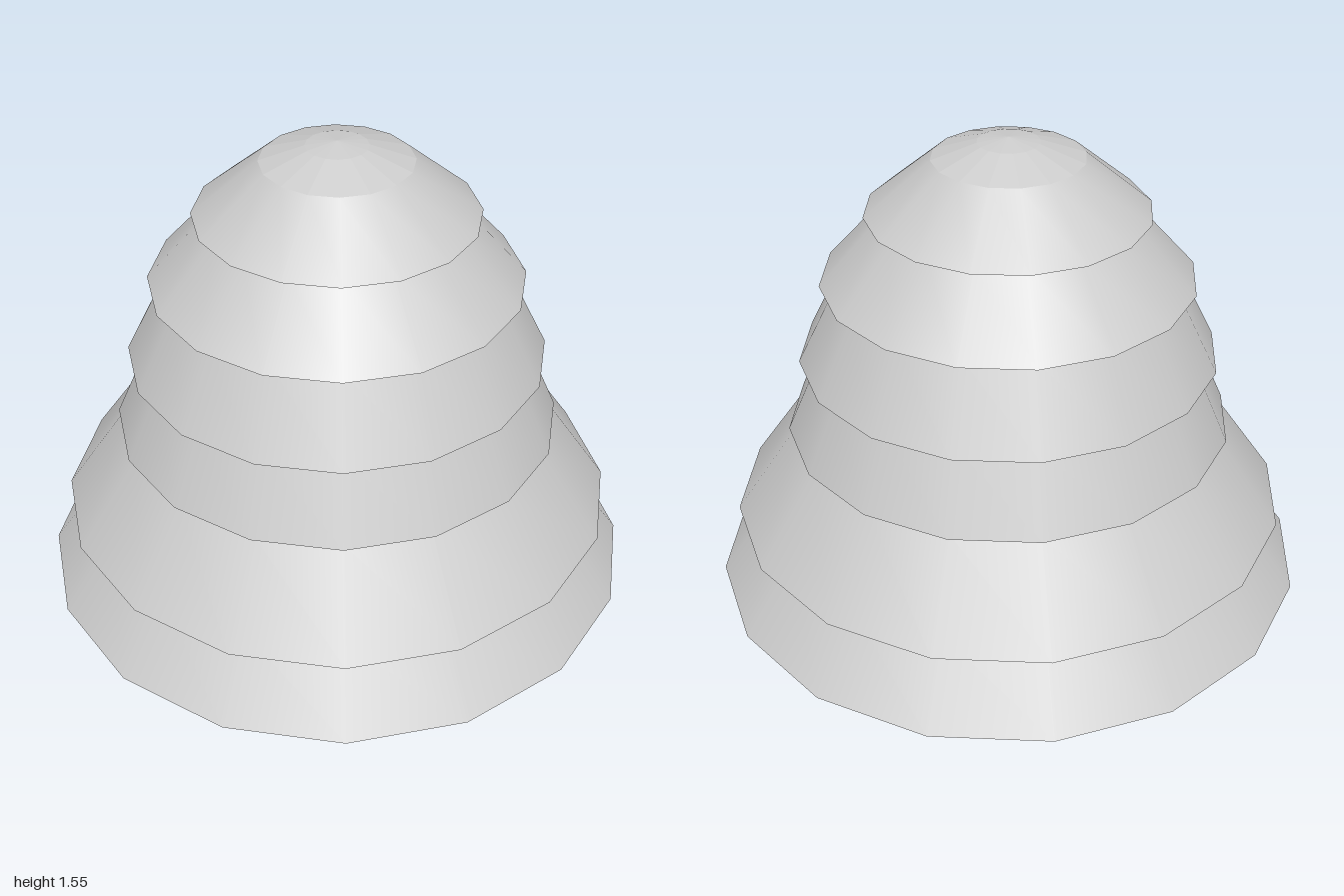
import * as THREE from 'three';

const SIDES = 16;

export function createModel() {
  const model = new THREE.Group();
  model.name = 'tieredDome';
  const grey = new THREE.MeshStandardMaterial({ color: 0xcccccc, side: THREE.DoubleSide });
  grey.name = 'light grey';

  const add = (name, geometry) => {
    const mesh = new THREE.Mesh(geometry, grey);
    mesh.name = name;
    model.add(mesh);
    return mesh;
  };
  const lathe = (points) =>
    new THREE.LatheGeometry(points.map(([r, y]) => new THREE.Vector2(r, y)), SIDES);

  // Open overlapping skirts: bottom radius, bottom height, top radius, top height
  const tiers = [
    [1.0, 0, 0.82, 0.25],
    [0.93, 0.25, 0.717, 0.557],
    [0.74, 0.555, 0.627, 0.812],
    [0.69, 0.81, 0.555, 1.08],
    [0.61, 1.08, 0.405, 1.31],
    [0.46, 1.31, 0.245, 1.49],
  ];
  tiers.forEach(([r0, y0, r1, y1], i) => add(`tier${i + 1}`, lathe([[r0, y0], [r1, y1]])));

  // Flat undersides of the two lowest tiers, with the opening in the middle
  [[0.663, 1.0, 0], [0.637, 0.93, 0.25]].forEach(([inner, outer, y], i) => {
    const ring = new THREE.RingGeometry(inner, outer, SIDES, 1).rotateX(Math.PI / 2);
    add(`underside${i + 1}`, ring).position.y = y;
  });

  // Shallow faceted cap
  const cap = lathe([[0.245, 1.49], [0.1, 1.54], [0, 1.555]]).toNonIndexed();
  cap.computeVertexNormals();
  add('cap', cap);

  return model;
}
